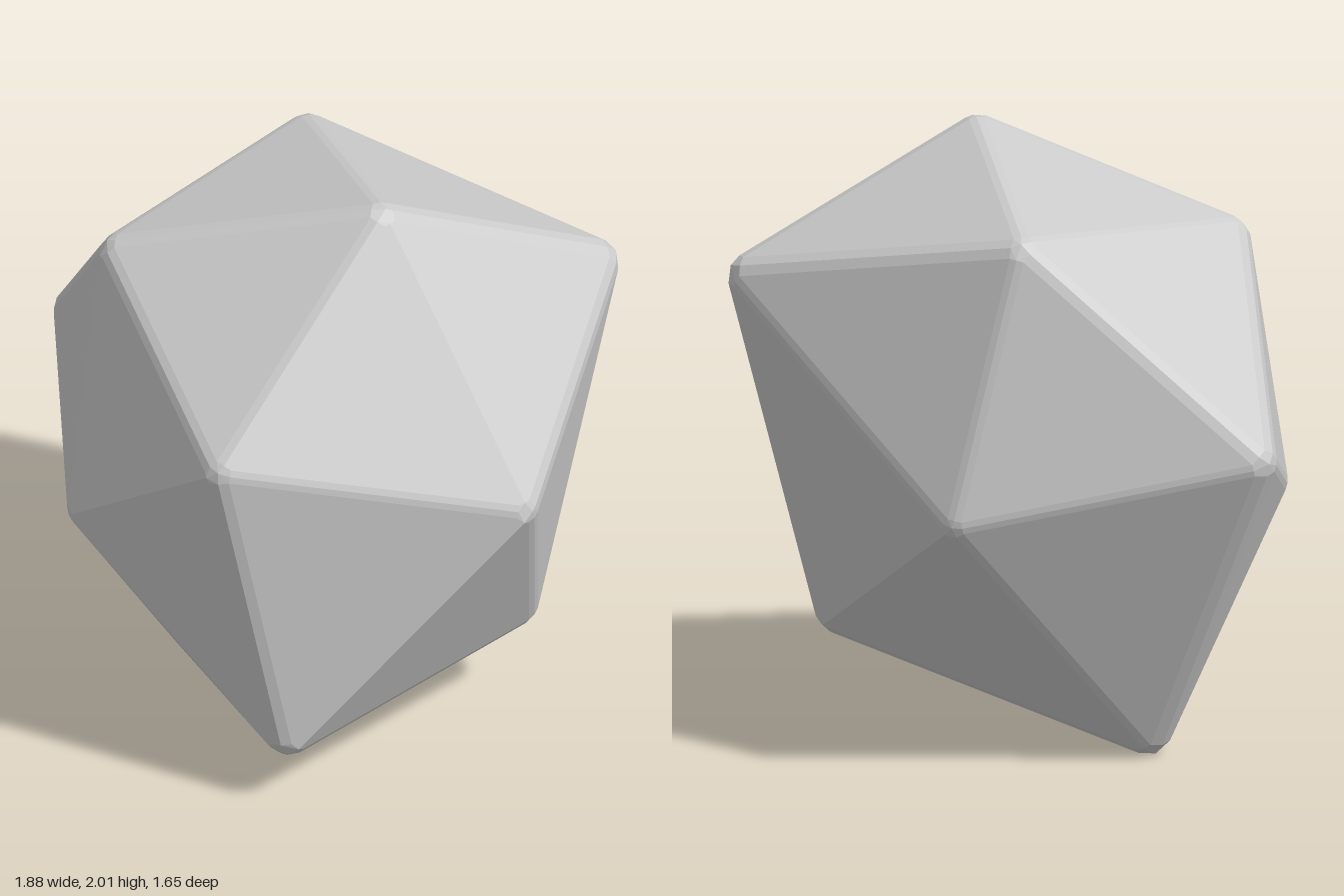
import * as THREE from 'three';
import { ConvexGeometry } from 'three/addons/geometries/ConvexGeometry.js';

const RADIUS = 0.08;                        // rounding of the edges
const SHARP = THREE.MathUtils.degToRad(29); // flatter edges stay crisp
const CRISP = ['HI', 'IJ'];                 // steeper edges that stay crisp too

// Corners of the stone: an irregular twenty-sided lump
const corners = {
  A: [0.31, 2.0, 0.14], B: [-0.62, 1.73, 0.16], C: [-0.93, 1.09, -0.39],
  D: [-0.44, 0.0, -0.15], E: [0.73, 0.31, -0.13], F: [0.93, 1.58, -0.43],
  G: [-0.07, 1.34, 0.82], H: [-0.69, 0.79, 0.38], I: [0.13, 0.2, 0.7],
  J: [0.88, 1.1, 0.42], K: [-0.15, 1.81, -0.61], L: [0.01, 0.89, -0.82],
};
const faces = ('AGB AGJ AJF AFK AKB BGH GHI GIJ IJE JEF ' +
  'EFL FLK LKC KCB CBH DHI DIE DEL DLC DCH').split(' ');

function roundedStone() {
  const middle = new THREE.Vector3(0, 1, 0);
  // Pull every corner inward so the rounded tip ends where the corner was
  const centres = {};
  for (const name in corners) {
    const p = new THREE.Vector3(...corners[name]);
    const inward = middle.clone().sub(p).setLength(RADIUS);
    centres[name] = p.add(inward);
  }

  // Outward normal of each facet
  const normals = faces.map((face) => {
    const [a, b, c] = [...face].map((n) => centres[n]);
    const normal = b.clone().sub(a).cross(c.clone().sub(a)).normalize();
    if (normal.dot(a.clone().sub(middle)) < 0) normal.negate();
    return normal;
  });

  const points = [];
  const add = (name, dir, length) =>
    points.push(centres[name].clone().addScaledVector(dir, length));

  // Facet corners, offset outward
  faces.forEach((face, i) => {
    for (const name of face) add(name, normals[i], RADIUS);
  });

  // Edges: a two-step bevel where steep, one crisp line where shallow
  for (let i = 0; i < faces.length; i++) {
    for (let j = i + 1; j < faces.length; j++) {
      const shared = [...faces[i]].filter((n) => faces[j].includes(n)).sort();
      if (shared.length !== 2) continue;
      const angle = normals[i].angleTo(normals[j]);
      const crisp = angle < SHARP || CRISP.includes(shared.join(''));
      const between = normals[i].clone().add(normals[j]).normalize();
      const length = crisp ? RADIUS / Math.cos(angle / 2) : RADIUS;
      for (const name of shared) add(name, between, length);
    }
  }

  // Soft tip on each corner
  for (const name in centres) {
    add(name, centres[name].clone().sub(middle).normalize(), RADIUS);
  }
  return new ConvexGeometry(points);
}

export function createModel() {
  const model = new THREE.Group();
  model.name = 'rock';

  const paleStone = new THREE.MeshStandardMaterial({ color: 0xcccccc });
  paleStone.name = 'paleStone';

  const stone = new THREE.Mesh(roundedStone(), paleStone);
  stone.name = 'stone';
  model.add(stone);
  return model;
}
